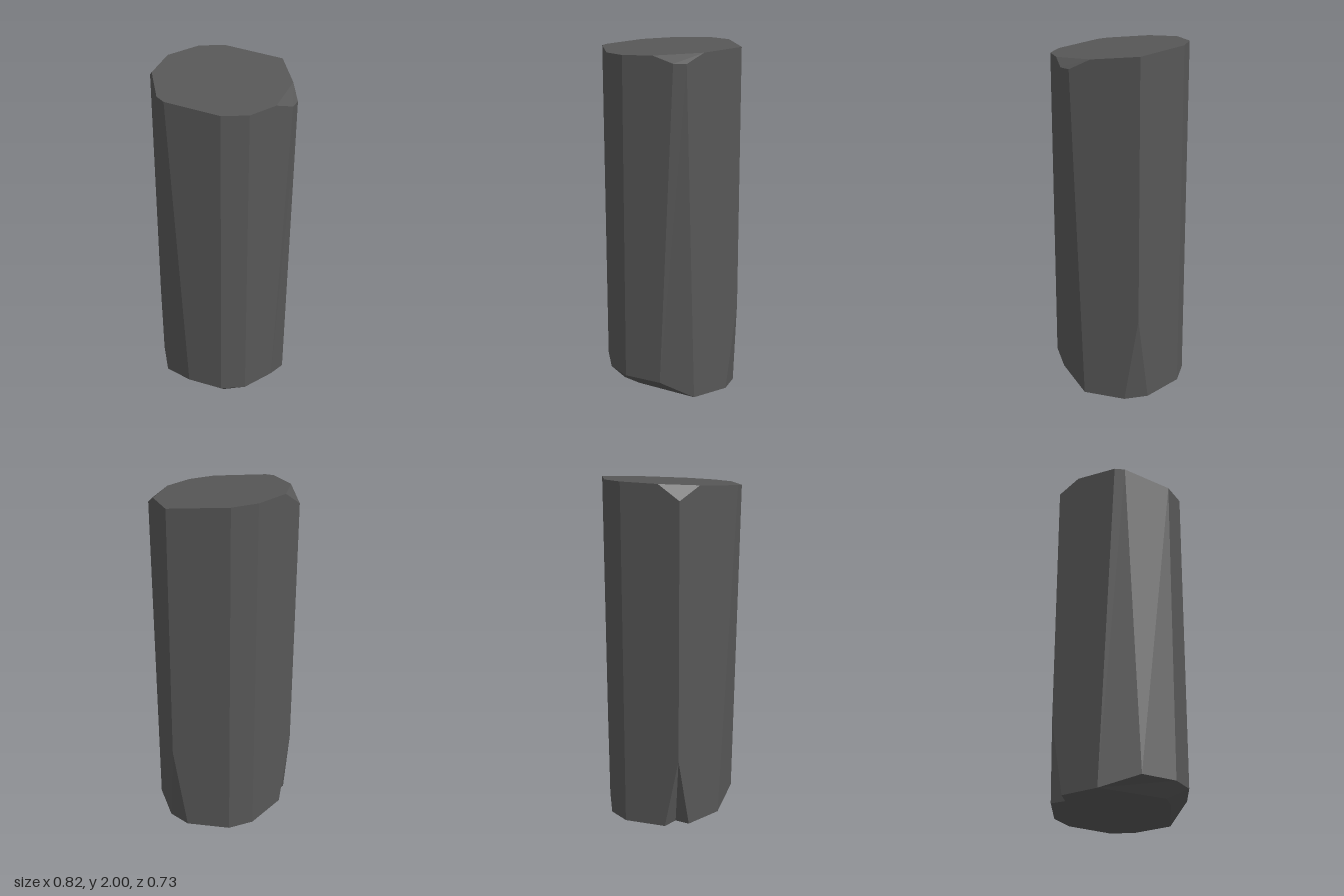
import * as THREE from 'three';

// Slanted top and bottom planes of the column.
const top = (x, z) => [x, 1.963 - 0.1 * z, z];
const base = (x, z) => [x, 0.03 - 0.08 * x, z];

export function createModel() {
  const stone = new THREE.MeshStandardMaterial({ color: 0x575757 });
  stone.name = 'darkStone';
  const group = new THREE.Group();
  group.name = 'stoneColumn';

  // Corners of the hexagon, in order around the column: A (+x), B, C (back), D (-x), E, F (front).
  const A = { t: top(0.41, 0), m: [0.41, 0.5, 0], b1: base(0.37, 0.07), b2: base(0.37, -0.07) };
  const B = { t1: top(0.243, -0.29), t2: top(0.115, -0.363), b1: base(0.243, -0.29), b2: base(0.115, -0.363) };
  const C = {
    t1: top(-0.1, -0.363), t2: top(-0.285, -0.25), m: [-0.22, 1.92, -0.363],
    n: [-0.22, 0.47, -0.363], b1: base(-0.136, -0.363), b2: base(-0.258, -0.298), inner: base(-0.17, -0.285),
  };
  const D = { t1: top(-0.412, -0.03), t2: top(-0.412, 0.03), b1: base(-0.365, -0.112), b2: [-0.365, 0.13, 0.112] };
  const E = { t1: top(-0.26, 0.29), t2: top(-0.135, 0.363), b1: [-0.26, 0.125, 0.29], b2: [-0.135, 0.117, 0.363] };
  const F = {
    t1: top(0.04, 0.363), t2: top(0.277, 0.23), m1: [0.155, 1.887, 0.363], m2: [0.218, 1.885, 0.332],
    b1: [0.075, 0.105, 0.363], b2: base(0.25, 0.277),
  };
  const G = { left: base(-0.2, 0.24), mid: base(-0.097, 0.267) };

  // Each flat facet is a fan around its first corner.
  const addFacets = (name, facets) => {
    const pos = [];
    for (const f of facets) {
      for (let i = 1; i < f.length - 1; i++) pos.push(...f[0], ...f[i], ...f[i + 1]);
    }
    const geo = new THREE.BufferGeometry();
    geo.setAttribute('position', new THREE.Float32BufferAttribute(pos, 3));
    geo.computeVertexNormals();
    const mesh = new THREE.Mesh(geo, stone);
    mesh.name = name;
    group.add(mesh);
  };

  addFacets('topFace', [[A.t, B.t1, B.t2, C.t1, C.t2, D.t1, D.t2, E.t1, E.t2, F.t1, F.t2]]);
  addFacets('bottomFace', [
    [C.inner, C.b1, B.b2, B.b1, A.b2, A.b1, F.b2, G.mid, G.left, D.b1, C.b2],
  ]);

  // Six broad sides
  addFacets('sides', [
    [A.m, A.b2, B.b1, B.t1, A.t],
    [C.n, C.m, C.t1, B.t2, B.b2, C.b1],
    [C.n, C.b2, D.b1, D.t1, C.t2, C.m],
    [D.b2, E.b1, E.t1, D.t2],
    [E.b2, F.b1, F.m1, F.t1, E.t2],
    [A.m, A.t, F.t2, F.m2, F.b2, A.b1],
  ]);

  // Long worn corners
  addFacets('cornerBevels', [
    [B.b1, B.b2, B.t2, B.t1],
    [D.b1, D.b2, D.t2, D.t1],
    [E.b1, E.b2, E.t2, E.t1],
    [F.b1, F.b2, F.m2, F.m1],
  ]);

  // Chips knocked off the rims
  addFacets('topChips', [
    [C.m, C.t2, C.t1],
    [F.m1, F.m2, F.t2, F.t1],
  ]);
  addFacets('bottomChips', [
    [A.b1, A.b2, A.m],
    [G.mid, F.b2, F.b1, E.b2],
    [G.left, G.mid, E.b2, E.b1],
    [D.b1, G.left, E.b1, D.b2],
  ]);

  // V-shaped split at the foot of the back corner
  addFacets('backNotch', [
    [C.b1, C.inner, C.n],
    [C.inner, C.b2, C.n],
  ]);

  return group;
}
